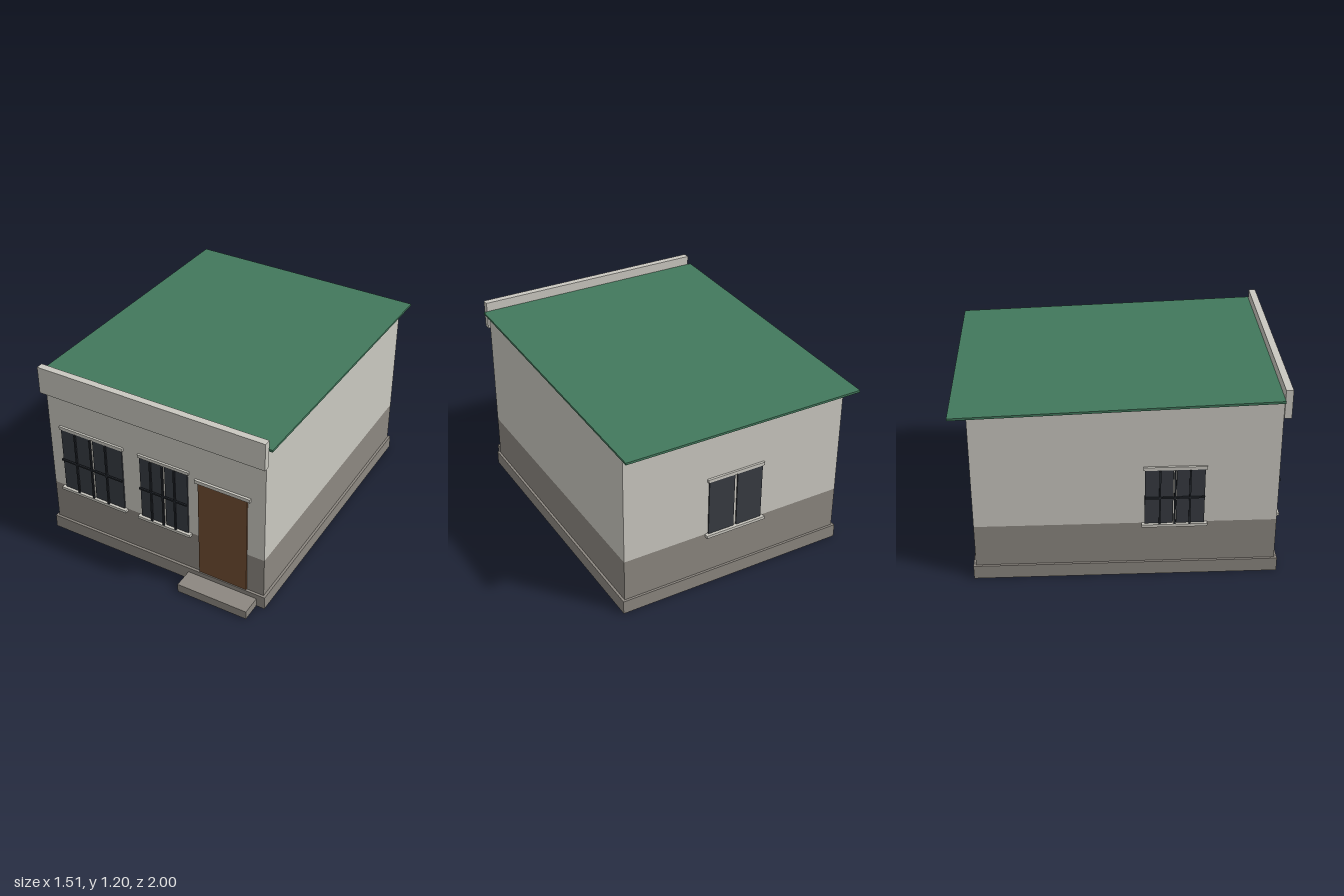
import * as THREE from 'three';

const mat = (name, color) => {
  const m = new THREE.MeshStandardMaterial({ color });
  m.name = name;
  return m;
};

export function createModel() {
  const house = new THREE.Group();
  house.name = 'house';

  const plaster = mat('plaster', 0xcac8c0);
  const stone = mat('stone', 0x8c8780);
  const roofGreen = mat('roof green', 0x42785c);
  const wood = mat('door wood', 0x704c32);
  const glass = mat('glass', 0x373b42);
  const iron = mat('iron', 0x23272d);

  const FRONT = 0.861, BACK = -0.897, SIDE = 0.72, BAND = 0.35;

  // Box given by its minimum and maximum on each axis
  function box(parent, name, material, [x0, x1], [y0, y1], [z0, z1]) {
    const mesh = new THREE.Mesh(new THREE.BoxGeometry(x1 - x0, y1 - y0, z1 - z0), material);
    mesh.position.set((x0 + x1) / 2, (y0 + y1) / 2, (z0 + z1) / 2);
    mesh.name = name;
    parent.add(mesh);
  }

  // Side profile of [z, y] points, extruded across the width of the house
  function profile(name, material, points, halfWidth) {
    const shape = new THREE.Shape(points.map(([z, y]) => new THREE.Vector2(z, y)));
    const geo = new THREE.ExtrudeGeometry(shape, { depth: halfWidth * 2, bevelEnabled: false });
    geo.translate(0, 0, -halfWidth).rotateY(-Math.PI / 2);
    const mesh = new THREE.Mesh(geo, material);
    mesh.name = name;
    house.add(mesh);
  }

  // Base, walls and roof
  box(house, 'plinth', stone, [-0.735, 0.735], [0, 0.085], [-0.911, 0.877]);
  box(house, 'lowerWalls', stone, [-SIDE, SIDE], [0.085, BAND], [BACK, FRONT]);
  profile('upperWalls', plaster,
    [[BACK, BAND], [FRONT, BAND], [FRONT, 1.125], [BACK, 1.069]], SIDE);
  profile('roof', roofGreen,
    [[-1, 1.064], [FRONT, 1.124], [FRONT, 1.138], [-1, 1.077]], 0.754);
  box(house, 'parapet', plaster, [-0.733, 0.733], [1.021, 1.195], [FRONT, 0.903]);

  // Door with lintel and step
  box(house, 'door', wood, [0.297, 0.61], [0.085, 0.741], [FRONT, 0.87]);
  box(house, 'doorLintel', plaster, [0.277, 0.63], [0.741, 0.763], [FRONT, 0.876]);
  box(house, 'frontStep', stone, [0.227, 0.682], [0, 0.055], [0.877, 1]);

  // Two-pane window facing +z from the origin, with an optional grille
  function windowUnit(name, width, top, barred) {
    const unit = new THREE.Group();
    unit.name = name;
    const h = width / 2, gap = 0.009;
    for (const s of [-1, 1]) {
      const xs = [s * gap, s * h].sort((a, b) => a - b);
      box(unit, 'pane', glass, xs, [BAND, top], [0, 0.008]);
    }
    box(unit, 'lintel', plaster, [-h - 0.01, h + 0.01], [top, top + 0.02], [0, 0.013]);
    box(unit, 'sill', plaster, [-h - 0.018, h + 0.018], [BAND - 0.018, BAND], [0, 0.025]);
    if (barred) {
      for (const i of [-1, 0, 1]) {
        const x = i * h / 2;
        box(unit, 'grilleBar', iron, [x - 0.005, x + 0.005], [BAND, top], [0.015, 0.025]);
      }
      const y = (BAND + top) / 2;
      box(unit, 'grilleRail', iron, [-h, h], [y - 0.005, y + 0.005], [0.015, 0.025]);
    }
    house.add(unit);
    return unit;
  }

  windowUnit('wideFrontWindow', 0.424, 0.775, true).position.set(-0.423, 0, FRONT);
  windowUnit('narrowFrontWindow', 0.318, 0.775, true).position.set(0.069, 0, FRONT);

  const sideWindow = windowUnit('sideWindow', 0.345, 0.705, true);
  sideWindow.position.set(-SIDE, 0, 0.263);
  sideWindow.rotation.y = -Math.PI / 2;

  const backWindow = windowUnit('backWindow', 0.355, 0.705, false);
  backWindow.position.set(0, 0, BACK);
  backWindow.rotation.y = Math.PI;

  return house;
}
